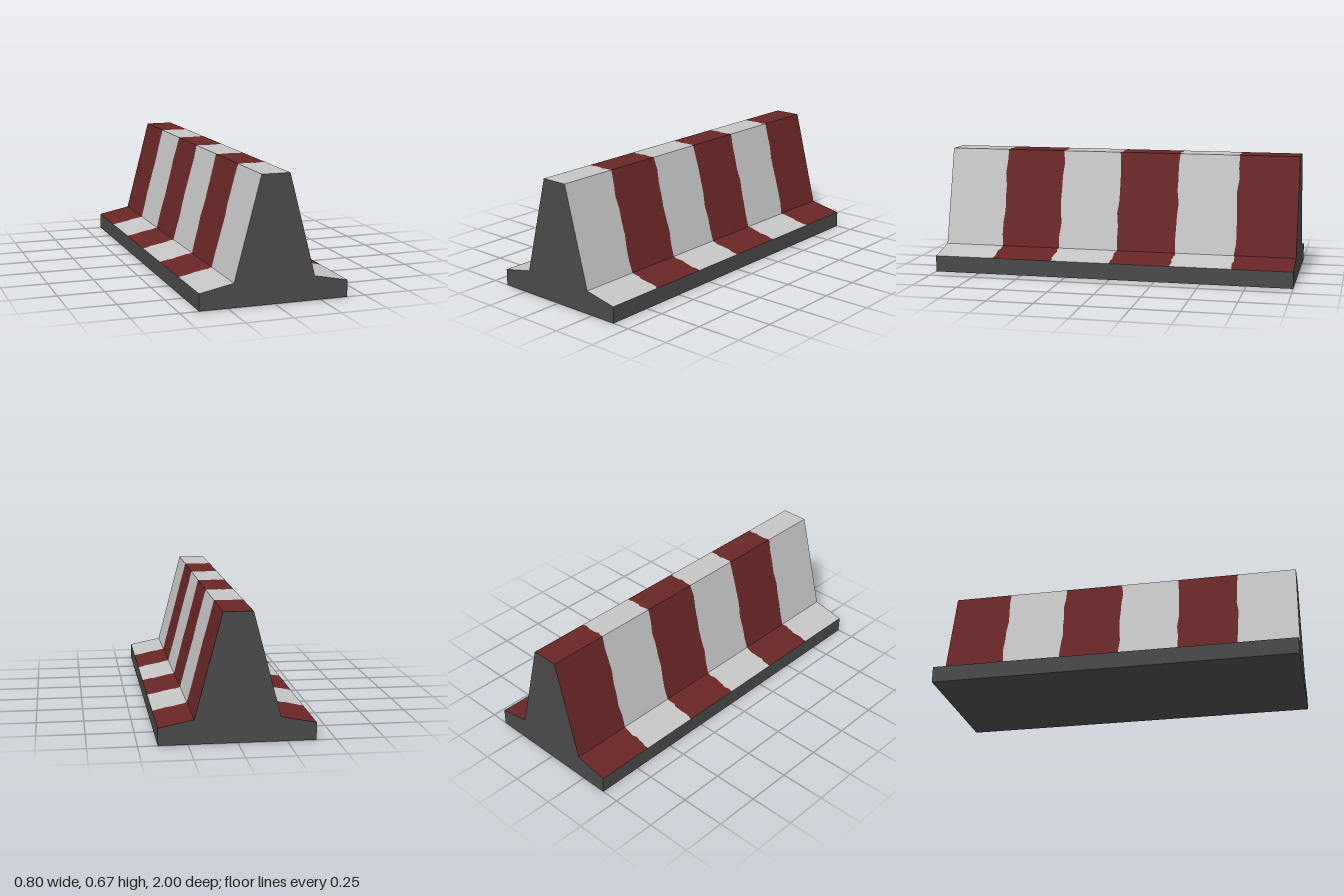
import * as THREE from 'three';

const material = (name, color) => {
  const m = new THREE.MeshStandardMaterial({ color });
  m.name = name;
  return m;
};

// Cross-section corners, counter-clockwise seen from the front
const painted = [[0.4, 0.09], [0.218, 0.127], [0.076, 0.665], [-0.076, 0.665], [-0.218, 0.127], [-0.4, 0.09]];
const footing = [[-0.4, 0.09], [-0.4, 0], [0.4, 0], [0.4, 0.09]];

// Flat-shaded surface swept along a profile between two z edges
function sweep(profile, frontZ, backZ) {
  const pos = [];
  for (let i = 0; i < profile.length - 1; i++) {
    const [a, b] = [profile[i], profile[i + 1]];
    const f0 = [...a, frontZ(i)], b0 = [...a, backZ(i)];
    const f1 = [...b, frontZ(i + 1)], b1 = [...b, backZ(i + 1)];
    pos.push(...f0, ...b0, ...b1, ...f0, ...b1, ...f1);
  }
  const geo = new THREE.BufferGeometry();
  geo.setAttribute('position', new THREE.Float32BufferAttribute(pos, 3));
  geo.computeVertexNormals();
  return geo;
}

// Subdivide each segment so stripe edges can waver slightly
function subdivide(profile, n) {
  const out = [profile[0]];
  for (let i = 0; i < profile.length - 1; i++) {
    const [a, b] = [profile[i], profile[i + 1]];
    for (let k = 1; k <= n; k++) out.push([a[0] + (b[0] - a[0]) * k / n, a[1] + (b[1] - a[1]) * k / n]);
  }
  return out;
}

export function createModel() {
  const group = new THREE.Group();
  group.name = 'roadBarrier';
  const concrete = material('darkConcrete', 0x4a4a4a);
  const white = material('whitePaint', 0xc6c5c5);
  const red = material('redPaint', 0x692626);

  const add = (name, geo, mat) => {
    const mesh = new THREE.Mesh(geo, mat);
    mesh.name = name;
    group.add(mesh);
    return mesh;
  };

  // Bare footing: both low sides and the underside
  add('footing', sweep(footing, () => 1, () => -1), concrete);

  // End faces
  const outline = [...painted, [-0.4, 0], [0.4, 0]].map(([x, y]) => new THREE.Vector2(x, y));
  const endGeo = new THREE.ShapeGeometry(new THREE.Shape(outline));
  add('frontEnd', endGeo, concrete).position.z = 1;
  const back = add('backEnd', endGeo, concrete);
  back.position.z = -1;
  back.rotation.y = Math.PI;

  // Six painted bands with slightly uneven shared edges
  const bands = 6;
  const skin = subdivide(painted, 8);
  const edge = k => i => {
    const z = 1 - 2 * k / bands;
    if (k === 0 || k === bands) return z;
    return z + 0.004 * Math.sin(i * 1.3 + k * 2.1) + 0.003 * Math.sin(i * 2.7 + k);
  };
  for (let k = 0; k < bands; k++) {
    add(`paintedBand${k + 1}`, sweep(skin, edge(k), edge(k + 1)), k % 2 ? red : white);
  }
  return group;
}
